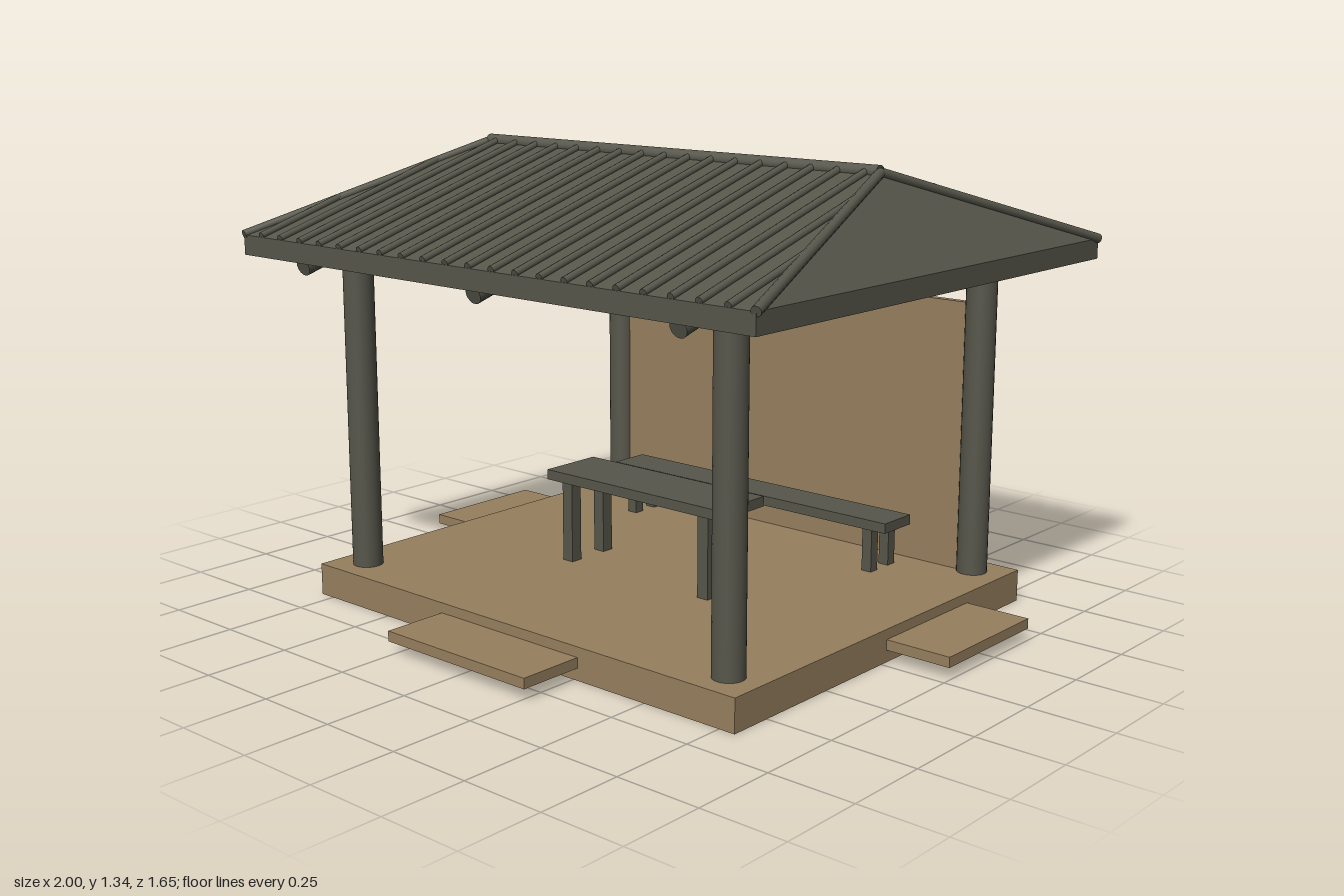
import * as THREE from 'three';

const timber = new THREE.MeshStandardMaterial({ color: 0x56564b });
timber.name = 'dark timber';
const roofing = new THREE.MeshStandardMaterial({ color: 0x56564b, side: THREE.DoubleSide });
roofing.name = 'roof sheet';
const tan = new THREE.MeshStandardMaterial({ color: 0x967f5e });
tan.name = 'tan deck';

const V = (x, y, z) => new THREE.Vector3(x, y, z);

// Box given by its extents on each axis
function box(parent, name, mat, [x0, x1], [y0, y1], [z0, z1]) {
  const m = new THREE.Mesh(new THREE.BoxGeometry(x1 - x0, y1 - y0, z1 - z0), mat);
  m.position.set((x0 + x1) / 2, (y0 + y1) / 2, (z0 + z1) / 2);
  m.name = name;
  parent.add(m);
}

// Round pole between two points
function pole(parent, name, a, b, r, sides = 16) {
  const m = new THREE.Mesh(new THREE.CylinderGeometry(r, r, a.distanceTo(b), sides), timber);
  m.position.copy(a).add(b).multiplyScalar(0.5);
  m.quaternion.setFromUnitVectors(V(0, 1, 0), b.clone().sub(a).normalize());
  m.name = name;
  parent.add(m);
}

function group(parent, name) {
  const g = new THREE.Group();
  g.name = name;
  parent.add(g);
  return g;
}

// Table or bench: a plank on four square legs
function plankOnLegs(parent, name, halfX, y, z, legX, legZ, legW) {
  const g = group(parent, name);
  box(g, 'plank', timber, [-halfX, halfX], y, z);
  for (const x of [-legX, legX])
    for (const lz of legZ)
      box(g, 'leg', timber, [x - legW / 2, x + legW / 2], [0.095, y[0]], [lz - legW / 2, lz + legW / 2]);
}

export function createModel() {
  const model = new THREE.Group();
  model.name = 'pavilion';

  // Deck, steps and back wall
  box(model, 'deck', tan, [-0.8, 0.8], [0, 0.095], [-0.703, 0.628]);
  box(model, 'frontStep', tan, [-0.265, 0.265], [0.035, 0.065], [0.628, 0.825]);
  box(model, 'leftStep', tan, [0.8, 1], [0.035, 0.065], [-0.425, -0.023]);
  box(model, 'rightStep', tan, [-1, -0.8], [0.035, 0.065], [-0.425, -0.023]);
  box(model, 'backWall', tan, [-0.7, 0.7], [0.095, 0.9], [-0.617, -0.593]);

  // Furniture
  plankOnLegs(model, 'table', 0.335, [0.34, 0.37], [-0.07, 0.13], 0.265, [0.098, -0.038], 0.038);
  plankOnLegs(model, 'bench', 0.535, [0.225, 0.255], [-0.52, -0.39], 0.468, [-0.412, -0.5], 0.033);

  // Corner posts
  const midZ = -0.038, postZ = [0.53, -0.606];
  for (const x of [-0.7, 0.7])
    for (const z of postZ) pole(model, 'post', V(x, 0.095, z), V(x, 1.08, z), 0.045, 24);

  // Trusses: sloping rafters, tie beam and king post
  for (const x of [-0.7, 0, 0.7]) {
    const g = group(model, 'truss');
    for (const s of [-1, 1])
      pole(g, 'rafter', V(x, 1.017, midZ + s * 0.765), V(x, 1.252, midZ), 0.027);
    pole(g, 'tieBeam', V(x, 1.075, postZ[0]), V(x, 1.075, postZ[1]), 0.027);
    pole(g, 'kingPost', V(x, 1.075, midZ), V(x, 1.252, midZ), 0.022);
  }
  for (const z of postZ) pole(model, 'wallPlate', V(-0.7, 1.07, z), V(0.7, 1.07, z), 0.025);

  // Roof dimensions
  const eaveX = 0.945, ridgeX = 0.73, eaveY = 1.088, ridgeY = 1.322, halfZ = 0.783;
  const roof = group(model, 'roof');

  // Fascia boards around the eaves
  const zF = midZ + halfZ, zB = midZ - halfZ, t = 0.02;
  box(roof, 'frontFascia', timber, [-eaveX, eaveX], [1.03, eaveY], [zF - t, zF]);
  box(roof, 'backFascia', timber, [-eaveX, eaveX], [1.03, eaveY], [zB, zB + t]);
  for (const s of [-1, 1]) {
    const xs = [s * eaveX, s * (eaveX - t)].sort((a, b) => a - b);
    box(roof, 'sideFascia', timber, xs, [1.03, eaveY], [zB + t, zF - t]);
  }

  // Hipped roof sheet: two trapezoid slopes and two triangular ends
  const FL = V(-eaveX, eaveY, zF), FR = V(eaveX, eaveY, zF);
  const BL = V(-eaveX, eaveY, zB), BR = V(eaveX, eaveY, zB);
  const RL = V(-ridgeX, ridgeY, midZ), RR = V(ridgeX, ridgeY, midZ);
  const tris = [FL, FR, RR, FL, RR, RL, BR, BL, RL, BR, RL, RR, FR, BR, RR, BL, FL, RL];
  const sheet = new THREE.BufferGeometry().setFromPoints(tris);
  sheet.computeVertexNormals();
  const sheetMesh = new THREE.Mesh(sheet, roofing);
  sheetMesh.name = 'roofSheet';
  roof.add(sheetMesh);

  // Ridge and hip caps
  pole(roof, 'ridgeCap', RL, RR, 0.02);
  for (const [corner, top] of [[FL, RL], [BL, RL], [FR, RR], [BR, RR]])
    pole(roof, 'hipCap', corner, top, 0.014, 12);

  // Roofing ribs, cut short where they meet the hips
  for (let i = -10; i <= 10; i++) {
    const x = i * 0.0864;
    const k = Math.min(1, (eaveX - Math.abs(x)) / (eaveX - ridgeX));
    for (const s of [-1, 1])
      pole(roof, 'rib', V(x, eaveY + 0.004, midZ + s * halfZ),
        V(x, eaveY + 0.004 + k * (ridgeY - eaveY), midZ + s * halfZ * (1 - k)), 0.011, 10);
  }
  return model;
}
